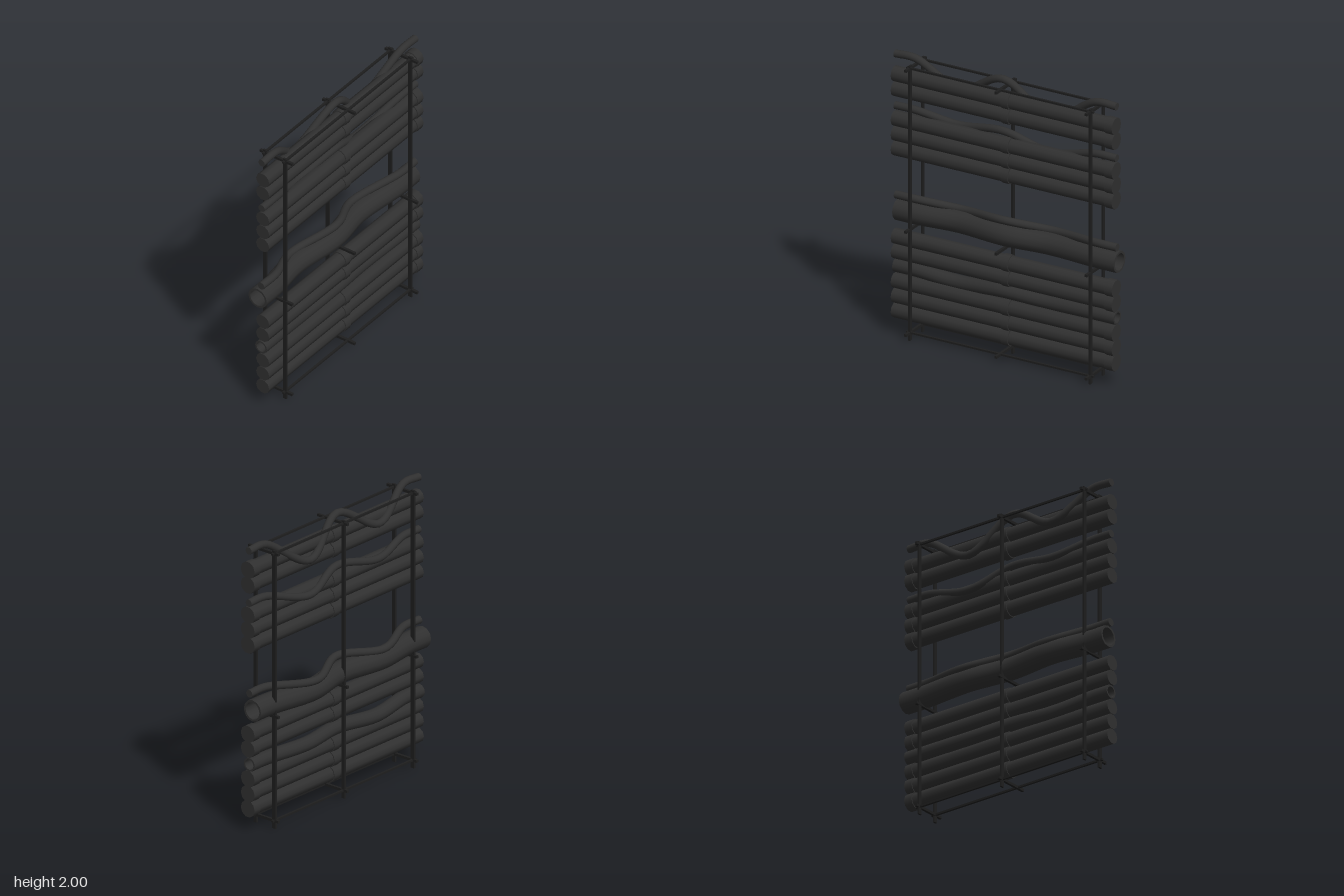
import * as THREE from 'three';

const pipeMat = new THREE.MeshStandardMaterial({ color: 0x303030, side: THREE.DoubleSide });
pipeMat.name = 'dark grey pipe';
const rackMat = new THREE.MeshStandardMaterial({ color: 0x1e1e1e });
rackMat.name = 'near black rack';

const HALF = 0.835; // half the pipe length
const SIDES = 10;

function add(parent, name, geometry, material, x = 0, y = 0, z = 0) {
  const mesh = new THREE.Mesh(geometry, material);
  mesh.name = name;
  mesh.position.set(x, y, z);
  parent.add(mesh);
  return mesh;
}

// Cylinder lying along x between x0 and x1
function rod(parent, name, r, x0, x1, y, z) {
  const g = new THREE.CylinderGeometry(r, r, x1 - x0, SIDES).rotateZ(Math.PI / 2);
  add(parent, name, g, pipeMat, (x0 + x1) / 2, y, z);
}

// Straight pipe with a middle coupling and an end socket
function straightPipe(parent, y) {
  const pipe = new THREE.Group();
  pipe.name = 'straightPipe';
  rod(pipe, 'pipeBody', 0.053, -HALF, 0.82, y, 0.013);
  rod(pipe, 'middleCoupling', 0.06, -0.005, 0.048, y, 0.013);
  rod(pipe, 'endSocket', 0.06, 0.775, HALF, y, 0.013);
  parent.add(pipe);
}

// Sagging pipe: level ends, a crest in the middle and a dip on either side
function bentPipe(parent, { name, r, wall, end, dipRight, crest, dipLeft }) {
  const pipe = new THREE.Group();
  pipe.name = name;
  const stations = [
    [-HALF, end], [-0.68, end], [-0.39, dipRight], [-0.02, crest],
    [0.29, dipLeft], [0.68, end], [HALF, end],
  ];
  const curve = new THREE.CatmullRomCurve3(
    stations.map(([x, [y, z]]) => new THREE.Vector3(x, y, z)), false, 'centripetal');
  add(pipe, 'outerWall', new THREE.TubeGeometry(curve, 48, r, 12), pipeMat);
  if (wall) add(pipe, 'innerWall', new THREE.TubeGeometry(curve, 48, r - wall, 12), pipeMat);
  for (const s of [-1, 1]) {
    const g = wall ? new THREE.RingGeometry(r - wall, r, 12) : new THREE.CircleGeometry(r, 12);
    add(pipe, 'pipeEnd', g.rotateY(s * Math.PI / 2), pipeMat, s * HALF, end[0], end[1]);
  }
  parent.add(pipe);
}

export function createModel() {
  const model = new THREE.Group();
  model.name = 'pipeRack';

  // Rack: two front posts, three back posts
  const rack = new THREE.Group();
  rack.name = 'rack';
  model.add(rack);
  const columns = [-0.68, 0, 0.68];
  for (const x of columns) {
    for (const z of x === 0 ? [-0.082] : [-0.082, 0.08]) {
      add(rack, 'post', new THREE.BoxGeometry(0.013, 1.95, 0.028), rackMat, x, 0.975, z);
    }
    // Cross bars that carry the pipes
    for (const y of [0.055, 0.787, 1.93]) {
      add(rack, 'crossBar', new THREE.BoxGeometry(0.018, 0.018, 0.26), rackMat, x, y, 0.01);
    }
  }
  // Long rails at the bottom and top
  for (const y of [0.055, 1.93]) {
    for (const z of [-0.082, 0.08]) {
      add(rack, 'rail', new THREE.BoxGeometry(1.41, 0.013, 0.015), rackMat, 0, y, z);
    }
  }

  // Stacks of straight pipes: lowest centre height and count
  const pipes = new THREE.Group();
  pipes.name = 'pipes';
  model.add(pipes);
  for (const [y0, count] of [[0.159, 3], [0.578, 2], [1.309, 3], [1.73, 2]]) {
    for (let i = 0; i < count; i++) straightPipe(pipes, y0 + i * 0.105);
  }

  // Sagging pipes, each point given as [y, z]
  bentPipe(pipes, {
    name: 'lowerBentPipe', r: 0.048, wall: 0.012,
    end: [0.472, 0], dipRight: [0.445, -0.02], crest: [0.472, 0], dipLeft: [0.458, -0.02],
  });
  bentPipe(pipes, {
    name: 'wideBentPipe', r: 0.075, wall: 0.015,
    end: [0.858, -0.028], dipRight: [0.855, -0.06], crest: [0.86, -0.02], dipLeft: [0.85, -0.066],
  });
  bentPipe(pipes, {
    name: 'middleThinPipe', r: 0.027, wall: 0,
    end: [0.97, 0], dipRight: [0.93, -0.09], crest: [0.97, 0], dipLeft: [0.928, -0.105],
  });
  bentPipe(pipes, {
    name: 'upperThinPipe', r: 0.026, wall: 0,
    end: [1.605, 0.005], dipRight: [1.55, -0.04], crest: [1.604, 0], dipLeft: [1.51, -0.047],
  });
  bentPipe(pipes, {
    name: 'topThinPipe', r: 0.026, wall: 0,
    end: [1.972, 0.005], dipRight: [1.8, -0.05], crest: [1.972, 0], dipLeft: [1.757, -0.052],
  });

  return model;
}
